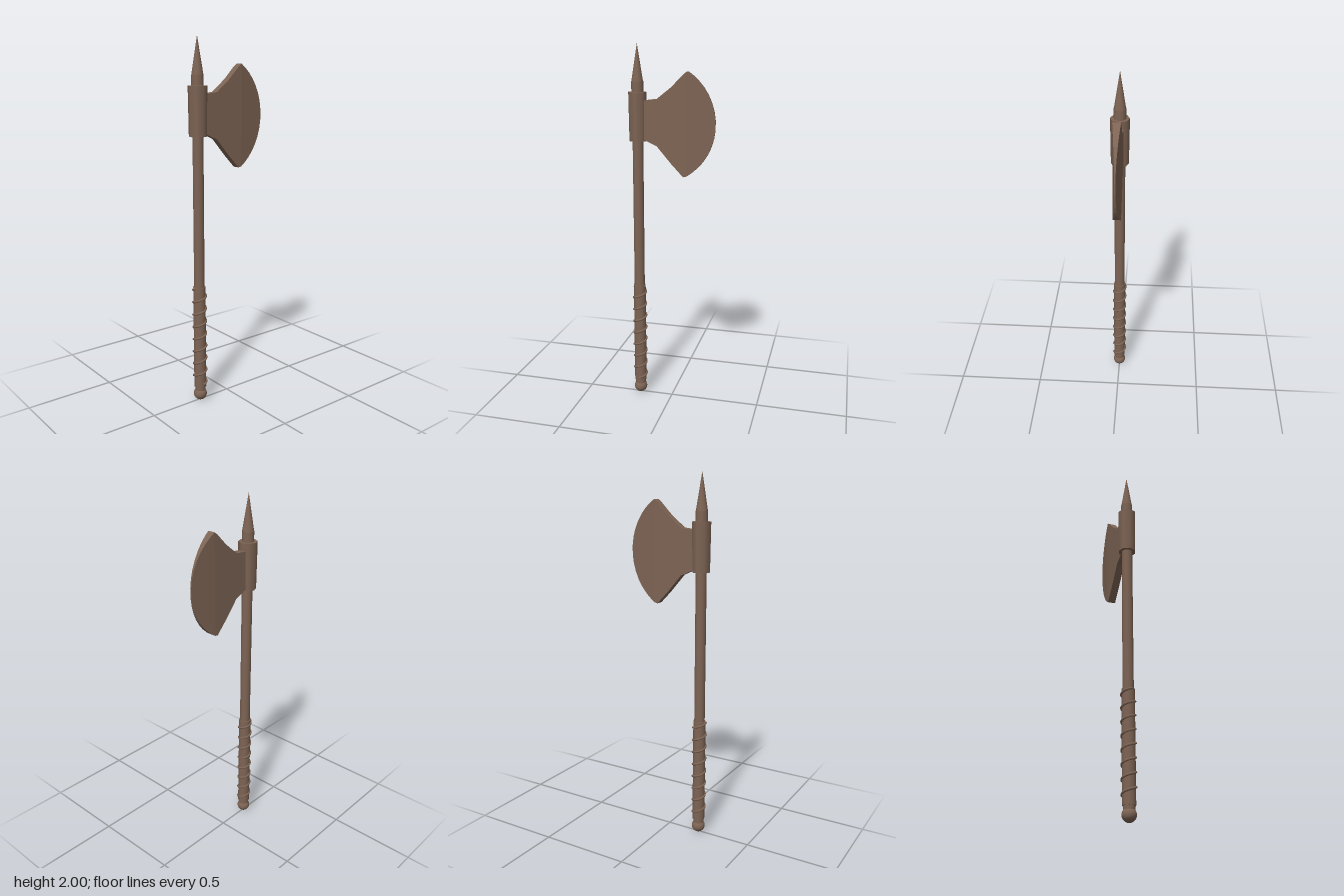
import * as THREE from 'three';

const AXIS = -0.19; // x of the handle

class Helix extends THREE.Curve {
  constructor(radius, y0, y1, turns) {
    super();
    Object.assign(this, { radius, y0, y1, turns });
  }
  getPoint(t, target = new THREE.Vector3()) {
    const a = t * this.turns * Math.PI * 2;
    return target.set(Math.sin(a) * this.radius, this.y0 + (this.y1 - this.y0) * t, Math.cos(a) * this.radius);
  }
}

// Blade from vertical sections along x: [x, bottom, top, half thickness]
function bladeGeometry() {
  const sections = [
    [-0.17, 1.5, 1.705, 0.021],
    [-0.14, 1.495, 1.708, 0.021],
    [-0.08, 1.468, 1.715, 0.021],
    [0, 1.375, 1.778, 0.021],
    [0.066, 1.306, 1.845, 0.021],
  ];
  // Round cutting edge, thinning towards the front
  for (const x of [0.084, 0.11, 0.14, 0.17, 0.195, 0.215, 0.228, 0.235]) {
    const h = Math.sqrt(0.323 ** 2 - (x + 0.087) ** 2);
    sections.push([x, 1.584 - h, 1.584 + h, 0.021 - (0.018 * (x - 0.084)) / 0.151]);
  }
  const rings = sections.map(([x, b, t, d]) => [[x, b, d], [x, t, d], [x, t, -d], [x, b, -d]]);
  const pos = [];
  const quad = (a, b, c, d) => pos.push(...a, ...b, ...c, ...a, ...c, ...d);
  for (let i = 0; i < rings.length - 1; i++) {
    const r = rings[i], s = rings[i + 1];
    for (let k = 0; k < 4; k++) {
      const n = (k + 1) % 4;
      quad(r[k], s[k], s[n], r[n]);
    }
  }
  const first = rings[0], last = rings[rings.length - 1];
  quad(first[0], first[1], first[2], first[3]);
  quad(last[3], last[2], last[1], last[0]);
  const g = new THREE.BufferGeometry();
  g.setAttribute('position', new THREE.Float32BufferAttribute(pos, 3));
  g.computeVertexNormals();
  return g;
}

export function createModel() {
  const group = new THREE.Group();
  group.name = 'battleAxe';
  const brown = new THREE.MeshStandardMaterial({ color: 0x7d6454 });
  brown.name = 'brown';

  const add = (name, geometry, x = AXIS, y = 0) => {
    const mesh = new THREE.Mesh(geometry, brown);
    mesh.name = name;
    mesh.position.set(x, y, 0);
    group.add(mesh);
  };
  // Upright round part between two heights
  const rod = (name, y0, y1, rBottom, rTop, sides) =>
    add(name, new THREE.CylinderGeometry(rTop, rBottom, y1 - y0, sides), AXIS, (y0 + y1) / 2);

  // Handle
  add('pommel', new THREE.SphereGeometry(0.037, 20, 14), AXIS, 0.037);
  rod('shaft', 0.06, 1.78, 0.029, 0.029, 16);
  rod('grip', 0.08, 0.67, 0.034, 0.034, 16);
  add('gripCord', new THREE.TubeGeometry(new Helix(0.035, 0.1, 0.665, 7.8), 200, 0.0065, 6));

  // Head
  rod('collar', 1.49, 1.75, 0.048, 0.051, 8);
  rod('spikeBase', 1.75, 1.805, 0.032, 0.032, 20);
  rod('spike', 1.805, 2, 0.031, 0, 20);
  add('blade', bladeGeometry(), 0);

  return group;
}
